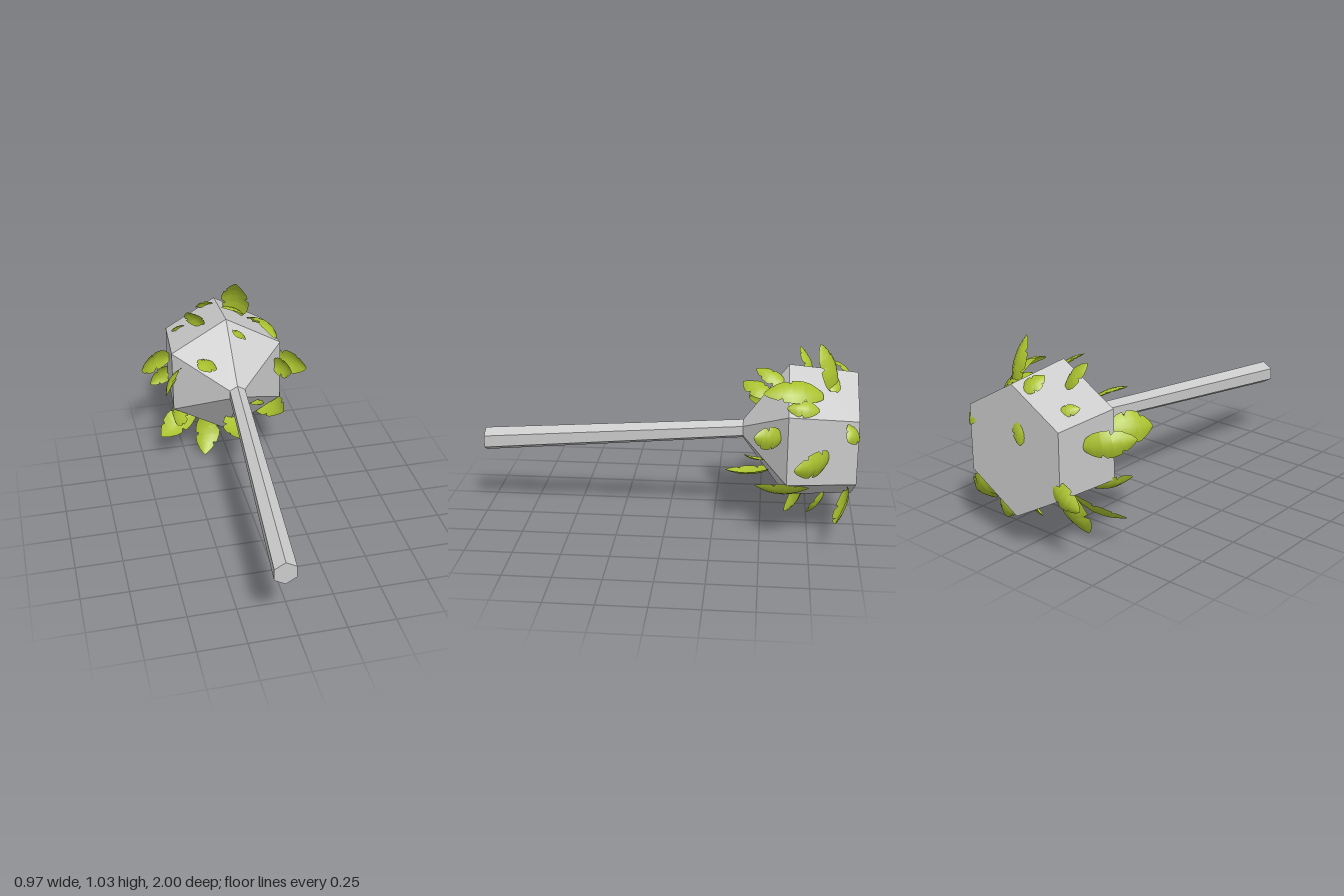
import * as THREE from 'three';

const V = (a) => new THREE.Vector3(...a);

// Faceted body swept through hexagonal rings [x, y, z, radius], capped at both ends
function hexBody(rings) {
  const pos = [], index = [], n = 6;
  for (const [x, y, z, r] of rings) {
    for (let i = 0; i < n; i++) {
      const a = Math.PI / 2 + (i / n) * Math.PI * 2;
      pos.push(x + r * Math.cos(a), y + r * Math.sin(a), z);
    }
  }
  for (let k = 0; k < rings.length - 1; k++) {
    for (let i = 0; i < n; i++) {
      const a = k * n + i, b = k * n + (i + 1) % n, c = a + n, d = b + n;
      index.push(a, c, b, b, c, d);
    }
  }
  const last = (rings.length - 1) * n;
  for (let i = 1; i < n - 1; i++) {
    index.push(0, i, i + 1, last, last + i + 1, last + i);
  }
  const g = new THREE.BufferGeometry();
  g.setAttribute('position', new THREE.Float32BufferAttribute(pos, 3));
  g.setIndex(index);
  const flat = g.toNonIndexed();
  flat.computeVertexNormals();
  return flat;
}

// Half-width of a leaf along its length: [t, left, right], with torn notches
const OUTLINE = [
  [0, 0.3, 0.3], [0.08, 0.6, 0.55], [0.2, 0.88, 0.8], [0.34, 1, 0.95], [0.36, 1, 0.7],
  [0.44, 1.02, 1], [0.54, 1, 1.02], [0.56, 0.68, 1], [0.64, 0.93, 0.94], [0.72, 0.85, 0.86],
  [0.735, 0.85, 0.6], [0.8, 0.7, 0.68], [0.9, 0.46, 0.42], [0.96, 0.24, 0.22], [1, 0.02, 0.02],
];

// Leaf from base to tip, arched away from the head and cupped across its width
function leafGeometry(base, tip, width, arch, mirrored) {
  const b = V(base), t = V(tip);
  const along = t.clone().sub(b), length = along.length();
  const dir = along.clone().normalize();
  const out = b.clone().lerp(t, 0.5).sub(V([0, 0.53, -0.75]));
  out.addScaledVector(dir, -out.dot(dir)).normalize();
  const side = new THREE.Vector3().crossVectors(dir, out);
  const cols = [-1, -0.5, 0, 0.5, 1], pos = [], index = [];
  OUTLINE.forEach(([u, l, r], k) => {
    cols.forEach((c) => {
      const half = ((c < 0) !== mirrored ? l : r) * width / 2;
      const p = b.clone().addScaledVector(along, u - Math.abs(c) * 0.03 * Math.sin(Math.PI * u));
      p.addScaledVector(side, c * half);
      p.addScaledVector(out, arch * length * 4 * u * (1 - u) - 0.35 * half * c * c);
      pos.push(p.x, p.y, p.z);
    });
    if (k === 0) return;
    for (let j = 0; j < 4; j++) {
      const a = (k - 1) * 5 + j, d = a + 5;
      index.push(a, a + 1, d, a + 1, d + 1, d);
    }
  });
  const g = new THREE.BufferGeometry();
  g.setAttribute('position', new THREE.Float32BufferAttribute(pos, 3));
  g.setIndex(index);
  g.computeVertexNormals();
  return g;
}

// Leaves: base, tip, width, arch
const TOP = [
  [[0.1, 0.79, -0.87], [0.09, 1.03, -0.78], 0.16, 0.1],
  [[0.18, 0.79, -0.8], [0.25, 0.81, -0.5], 0.14, 0.15],
  [[0.26, 0.73, -0.78], [0.28, 0.75, -0.62], 0.09, 0.15],
  [[0.08, 0.8, -0.61], [0.02, 0.87, -0.46], 0.09, 0.12],
  [[0.15, 0.8, -0.86], [0.01, 0.87, -0.83], 0.09, 0.1],
  [[-0.12, 0.81, -0.75], [-0.21, 0.93, -0.69], 0.1, 0.1],
  [[-0.05, 0.83, -0.95], [-0.1, 0.89, -0.86], 0.1, 0.12],
  [[-0.2, 0.74, -0.88], [-0.28, 0.76, -0.82], 0.06, 0.12],
];
const SIDES = [
  [[-0.3, 0.58, -0.83], [-0.485, 0.61, -0.66], 0.13, 0.15],
  [[-0.28, 0.6, -0.62], [-0.38, 0.58, -0.42], 0.16, 0.12],
  [[0.29, 0.5, -0.84], [0.485, 0.5, -0.66], 0.14, 0.15],
  [[0.27, 0.58, -0.6], [0.34, 0.61, -0.46], 0.12, 0.12],
];
const BACK = [
  [[0.25, 0.65, -0.97], [0.35, 0.61, -0.92], 0.11, 0.2],
  [[-0.04, 0.69, -0.975], [-0.05, 0.57, -0.99], 0.08, 0.08],
  [[-0.25, 0.42, -0.98], [-0.4, 0.33, -0.97], 0.11, 0.12],
];
const NECK = [
  [[-0.1, 0.69, -0.53], [-0.2, 0.73, -0.39], 0.11, 0.1],
  [[0.02, 0.32, -0.56], [0.01, 0.3, -0.31], 0.15, 0.1],
  [[0.12, 0.41, -0.52], [0.165, 0.45, -0.41], 0.06, 0.1],
];
const UNDER = [
  [[0.2, 0.29, -0.75], [0.3, 0.34, -0.47], 0.15, 0.12],
  [[0.2, 0.29, -0.94], [0.385, 0.18, -0.88], 0.16, 0.1],
  [[0.08, 0.22, -0.83], [0.05, 0.09, -0.75], 0.11, 0.12],
  [[0.1, 0.24, -0.94], [0.16, 0.11, -0.9], 0.1, 0.1],
  [[-0.08, 0.24, -0.74], [-0.14, 0.005, -0.63], 0.15, 0.1],
  [[-0.18, 0.27, -0.77], [-0.395, 0.17, -0.63], 0.15, 0.12],
  [[-0.24, 0.33, -0.72], [-0.32, 0.32, -0.5], 0.12, 0.12],
];

export function createModel() {
  const model = new THREE.Group();
  const grey = new THREE.MeshStandardMaterial({ color: 0xcccccc, flatShading: true });
  const green = new THREE.MeshStandardMaterial({ color: 0xabc22f, side: THREE.DoubleSide });

  // Handle flowing into the flared head
  const body = new THREE.Mesh(hexBody([
    [-0.07, 0.405, 1, 0.064],
    [0.013, 0.54, -0.4, 0.05],
    [0, 0.53, -0.63, 0.363],
    [0, 0.525, -0.98, 0.335],
  ]), grey);
  body.name = 'handleAndHead';
  model.add(body);

  // Leaves grouped by the area of the head they grow from
  const areas = { topLeaves: TOP, sideLeaves: SIDES, backLeaves: BACK, neckLeaves: NECK, underLeaves: UNDER };
  for (const [name, list] of Object.entries(areas)) {
    const group = new THREE.Group();
    group.name = name;
    list.forEach(([base, tip, width, arch], i) => {
      const leaf = new THREE.Mesh(leafGeometry(base, tip, width, arch, i % 2 === 1), green);
      leaf.name = 'leaf';
      group.add(leaf);
    });
    model.add(group);
  }
  return model;
}
